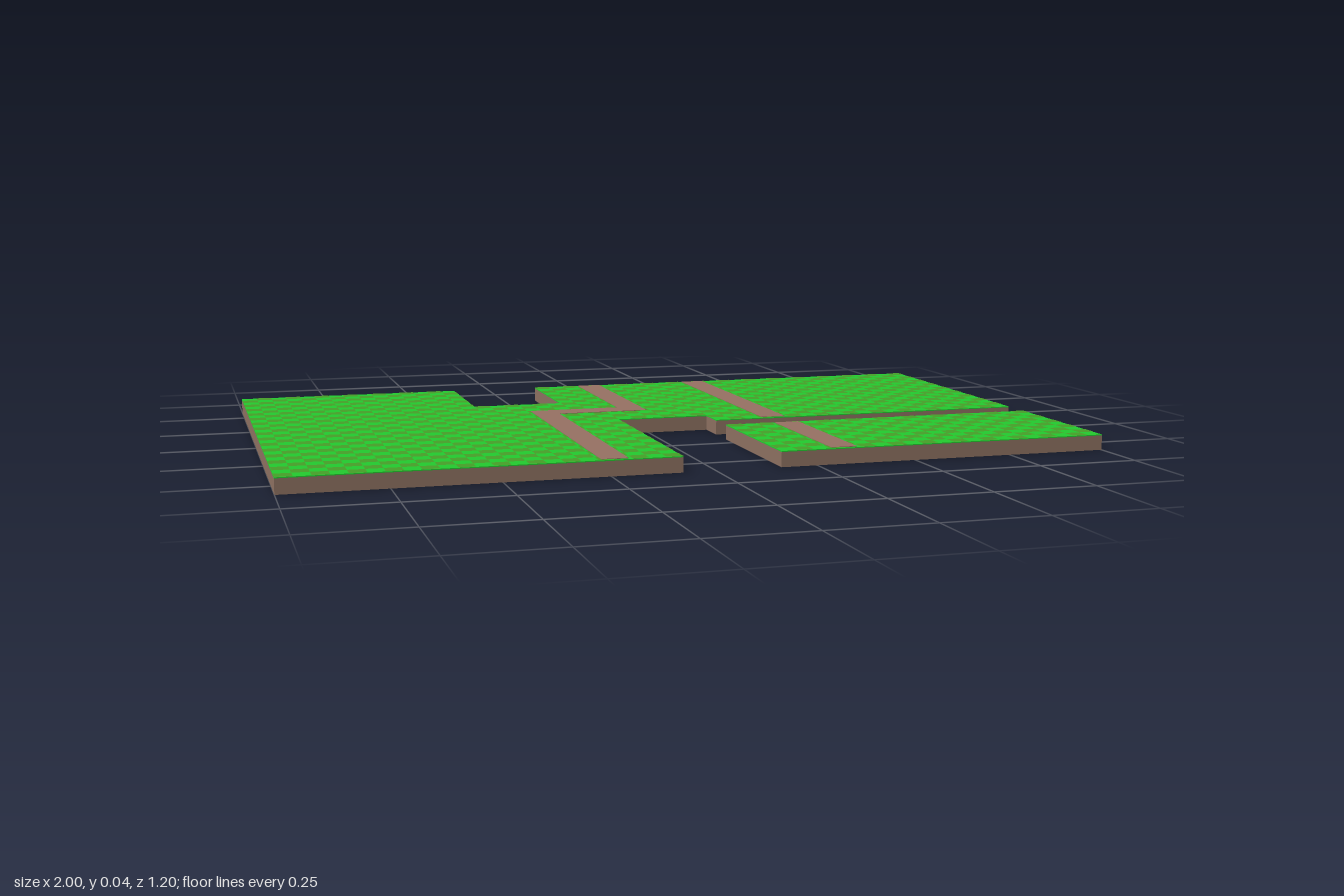
import * as THREE from 'three';
import { mergeGeometries } from 'three/addons/utils/BufferGeometryUtils.js';

const CELL = 0.04;
const SOIL_TOP = 0.036, TURF_TOP = 0.0384, CHECK_TOP = 0.0392, TOP = 0.04;

const material = (color) => new THREE.MeshStandardMaterial({ color });
const soil = material(0x8c7060);
const lightGrass = material(0x22c92e);
const darkGrass = material(0x46a028);
const dirt = material(0x967062);

// Ground outlines as [x, z] corners
const mainField = [
  [-1, -0.6], [-0.4, -0.6], [-0.4, -0.28], [-0.16, -0.28], [-0.16, -0.6], [1, -0.6],
  [1, 0.12], [0.16, 0.12], [0.16, 0.04], [-0.08, 0.04], [-0.08, 0.6], [-1, 0.6],
];
const smallField = [[0.16, 0.2], [1, 0.2], [1, 0.6], [0.16, 0.6]];

// Paths, set in slightly from the ends of the ground
const bentPath = [
  [-0.032, -0.592], [0.032, -0.592], [0.032, -0.088], [-0.208, -0.088],
  [-0.208, 0.592], [-0.272, 0.592], [-0.272, -0.152], [-0.032, -0.152],
];
const strip = (z0, z1) => [[0.288, z0], [0.352, z0], [0.352, z1], [0.288, z1]];

// Flat slab between two heights from an [x, z] outline
function slab(name, outline, bottom, top, mat) {
  const shape = new THREE.Shape(outline.map(([x, z]) => new THREE.Vector2(x, -z)));
  const geometry = new THREE.ExtrudeGeometry(shape, { depth: top - bottom, bevelEnabled: false });
  geometry.rotateX(-Math.PI / 2).translate(0, bottom, 0);
  const mesh = new THREE.Mesh(geometry, mat);
  mesh.name = name;
  return mesh;
}

// True where there is ground rather than a notch or gap
function isGround(x, z) {
  const backNotch = x > -0.4 && x < -0.16 && z < -0.28;
  const frontNotch = x > -0.08 && x < 0.16 && z > 0.04;
  const gap = x > 0.16 && z > 0.12 && z < 0.2;
  return !(backNotch || frontNotch || gap);
}

// Every second cell of the lawn
function checkerTiles() {
  const tiles = [];
  for (let i = 0; i < 50; i++) {
    for (let j = 0; j < 30; j++) {
      const x = -1 + (i + 0.5) * CELL, z = -0.6 + (j + 0.5) * CELL;
      if ((i + j) % 2 === 0 || !isGround(x, z)) continue;
      tiles.push(new THREE.PlaneGeometry(CELL, CELL).rotateX(-Math.PI / 2).translate(x, CHECK_TOP, z));
    }
  }
  const mesh = new THREE.Mesh(mergeGeometries(tiles), darkGrass);
  mesh.name = 'darkGrassTiles';
  return mesh;
}

export function createModel() {
  const model = new THREE.Group();
  model.name = 'groundTile';

  // Soil bodies with a thin turf layer
  for (const [name, outline] of [['mainField', mainField], ['smallField', smallField]]) {
    model.add(slab(name + 'Soil', outline, 0, SOIL_TOP, soil));
    model.add(slab(name + 'Turf', outline, SOIL_TOP, TURF_TOP, lightGrass));
  }
  model.add(checkerTiles());

  // Dirt paths
  model.add(slab('bentPath', bentPath, SOIL_TOP, TOP, dirt));
  model.add(slab('straightPathBack', strip(-0.592, 0.112), SOIL_TOP, TOP, dirt));
  model.add(slab('straightPathFront', strip(0.208, 0.592), SOIL_TOP, TOP, dirt));
  return model;
}
